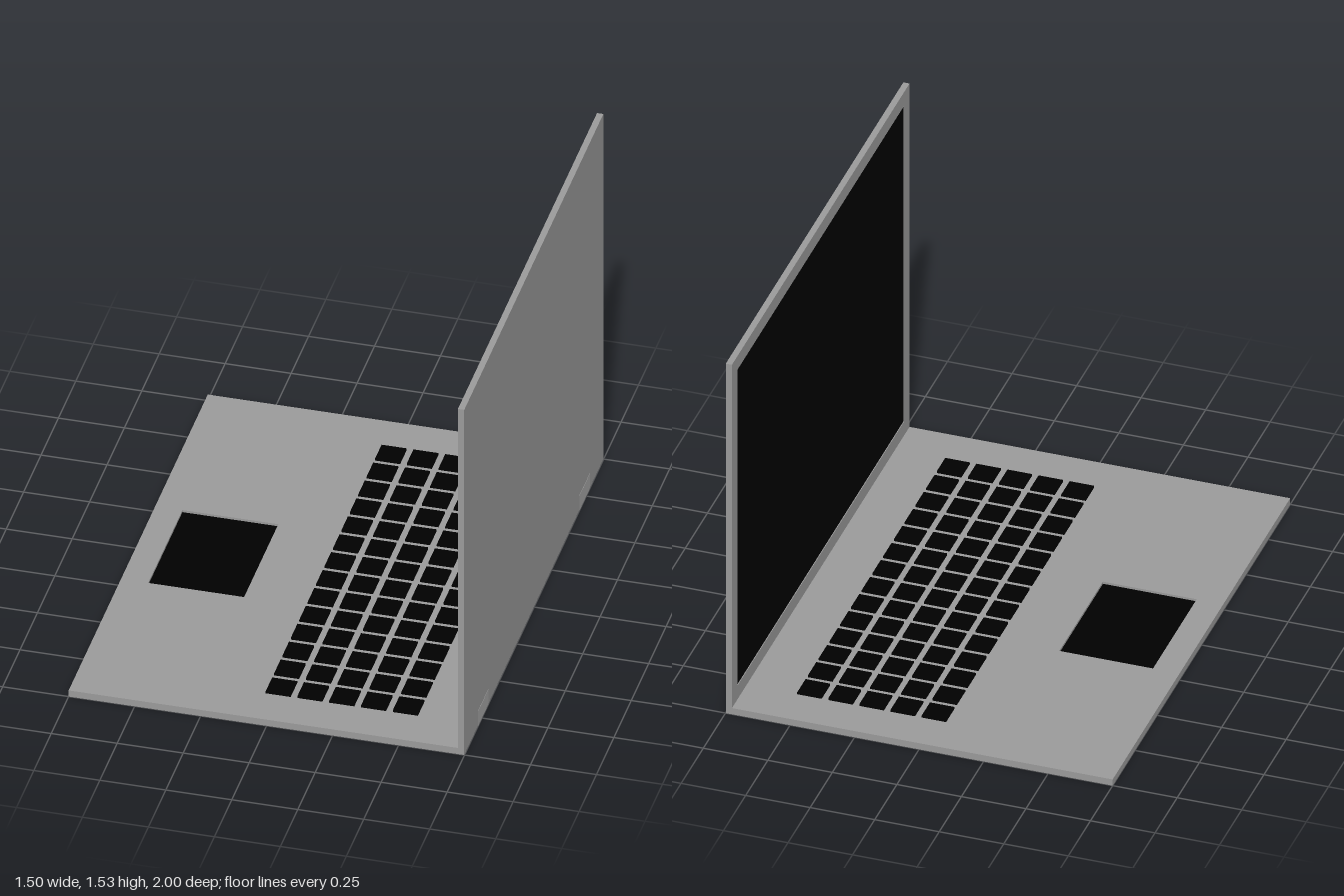
import * as THREE from 'three';

const grey = new THREE.MeshStandardMaterial({ color: 0x9a9a9a });
const hingeGrey = new THREE.MeshStandardMaterial({ color: 0xa6a6a6 });
const black = new THREE.MeshStandardMaterial({ color: 0x000000 });

const BASE_T = 0.027, LID_T = 0.024, BACK_X = 0.749;

function box(name, material, size, pos) {
  const mesh = new THREE.Mesh(new THREE.BoxGeometry(...size), material);
  mesh.position.set(...pos);
  mesh.name = name;
  return mesh;
}

function rect(target, x0, y0, x1, y1) {
  target.moveTo(x0, y0);
  target.lineTo(x1, y0);
  target.lineTo(x1, y1);
  target.lineTo(x0, y1);
  target.closePath();
  return target;
}

// Flat slab facing +z (back at z = 0) with a black panel sunk into a rectangular recess.
function slab(name, panelName, outer, inner, thickness, recess) {
  const group = new THREE.Group();
  group.name = name;
  const [x0, y0, x1, y1] = outer;
  const floor = thickness - recess;
  group.add(box(name + 'Plate', grey, [x1 - x0, y1 - y0, floor],
    [(x0 + x1) / 2, (y0 + y1) / 2, floor / 2]));

  const shape = rect(new THREE.Shape(), ...outer);
  shape.holes.push(rect(new THREE.Path(), ...inner));
  const frame = new THREE.Mesh(
    new THREE.ExtrudeGeometry(shape, { depth: recess, bevelEnabled: false }), grey);
  frame.position.z = floor;
  frame.name = name + 'Frame';
  group.add(frame);

  const panel = new THREE.Mesh(
    new THREE.PlaneGeometry(inner[2] - inner[0], inner[3] - inner[1]), black);
  panel.position.set((inner[0] + inner[2]) / 2, (inner[1] + inner[3]) / 2, floor + 0.001);
  panel.name = panelName;
  group.add(panel);
  return group;
}

export function createModel() {
  const model = new THREE.Group();
  model.name = 'laptop';

  // Base with sunken trackpad
  const base = slab('base', 'trackpad',
    [-0.75, -1, BACK_X, 1], [-0.647, -0.246, -0.284, 0.246], BASE_T, 0.01);
  base.rotation.x = -Math.PI / 2;
  model.add(base);

  // Upright lid with the screen facing -x
  const top = 1.527, border = 0.06;
  const lid = slab('lid', 'screen',
    [-1, BASE_T, 1, top], [-1 + border, BASE_T + border, 1 - border, top - border], LID_T, 0.004);
  lid.rotation.y = -Math.PI / 2;
  lid.position.x = BACK_X;
  model.add(lid);

  // Keyboard: 5 x 14 square keys
  const keyboard = new THREE.Group();
  keyboard.name = 'keyboard';
  const key = 0.095, keyH = 0.008;
  for (let i = 0; i < 5; i++) {
    for (let j = 0; j < 14; j++) {
      keyboard.add(box('key', black, [key, keyH, key],
        [i * 0.1205, BASE_T + keyH / 2, (j - 6.5) * 0.121]));
    }
  }
  model.add(keyboard);

  // Thin hinge plates on the back
  for (const side of [-1, 1]) {
    model.add(box('hinge', hingeGrey, [0.001, 0.065, 0.148],
      [BACK_X + 0.0005, 0.0325, side * 0.73]));
  }
  return model;
}
